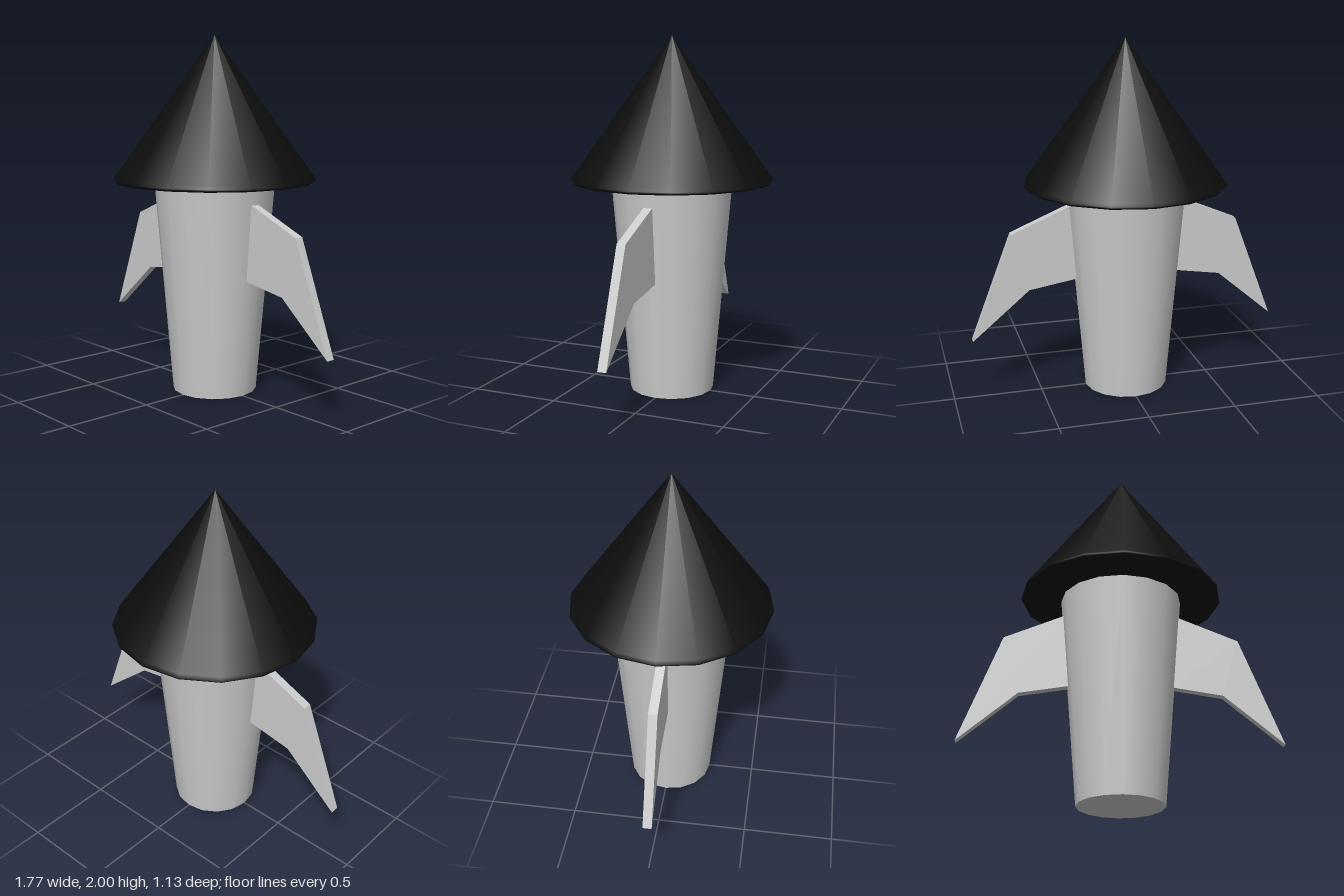
import * as THREE from 'three';

const SIDES = 16;
const FIN_THICKNESS = 0.05;

export function createModel() {
  const model = new THREE.Group();
  model.name = 'rocket';
  const grey = new THREE.MeshStandardMaterial({ color: 0xcccccc });
  const black = new THREE.MeshStandardMaterial({ color: 0x0d0d0d });

  const add = (name, geometry, material) => {
    const mesh = new THREE.Mesh(geometry, material);
    mesh.name = name;
    model.add(mesh);
    return mesh;
  };

  // Tapered body, wider at the top
  const bodyHeight = 1.195;
  const body = add('body', new THREE.CylinderGeometry(0.34, 0.238, bodyHeight, SIDES), grey);
  body.position.y = bodyHeight / 2;

  // Nose cone with a slightly rounded rim and a closed underside
  const profile = [
    [0, 1.19], [0.54, 1.19], [0.555, 1.191], [0.566, 1.198],
    [0.567, 1.207], [0.556, 1.222], [0, 2],
  ].map(([r, y]) => new THREE.Vector2(r, y));
  add('noseCone', new THREE.LatheGeometry(profile, SIDES), black);

  // Swept fins, one on each side, rooted just inside the body
  const outline = [
    [0.285, 0.664], [0.56, 0.62], [0.885, 0.345], [0.655, 0.95], [0.32, 1.09],
  ];
  for (const [side, name] of [[1, 'leftFin'], [-1, 'rightFin']]) {
    const shape = new THREE.Shape(outline.map(([x, y]) => new THREE.Vector2(side * x, y)));
    const geometry = new THREE.ExtrudeGeometry(shape, { depth: FIN_THICKNESS, bevelEnabled: false });
    geometry.translate(0, 0, -FIN_THICKNESS / 2);
    add(name, geometry, grey);
  }

  return model;
}
